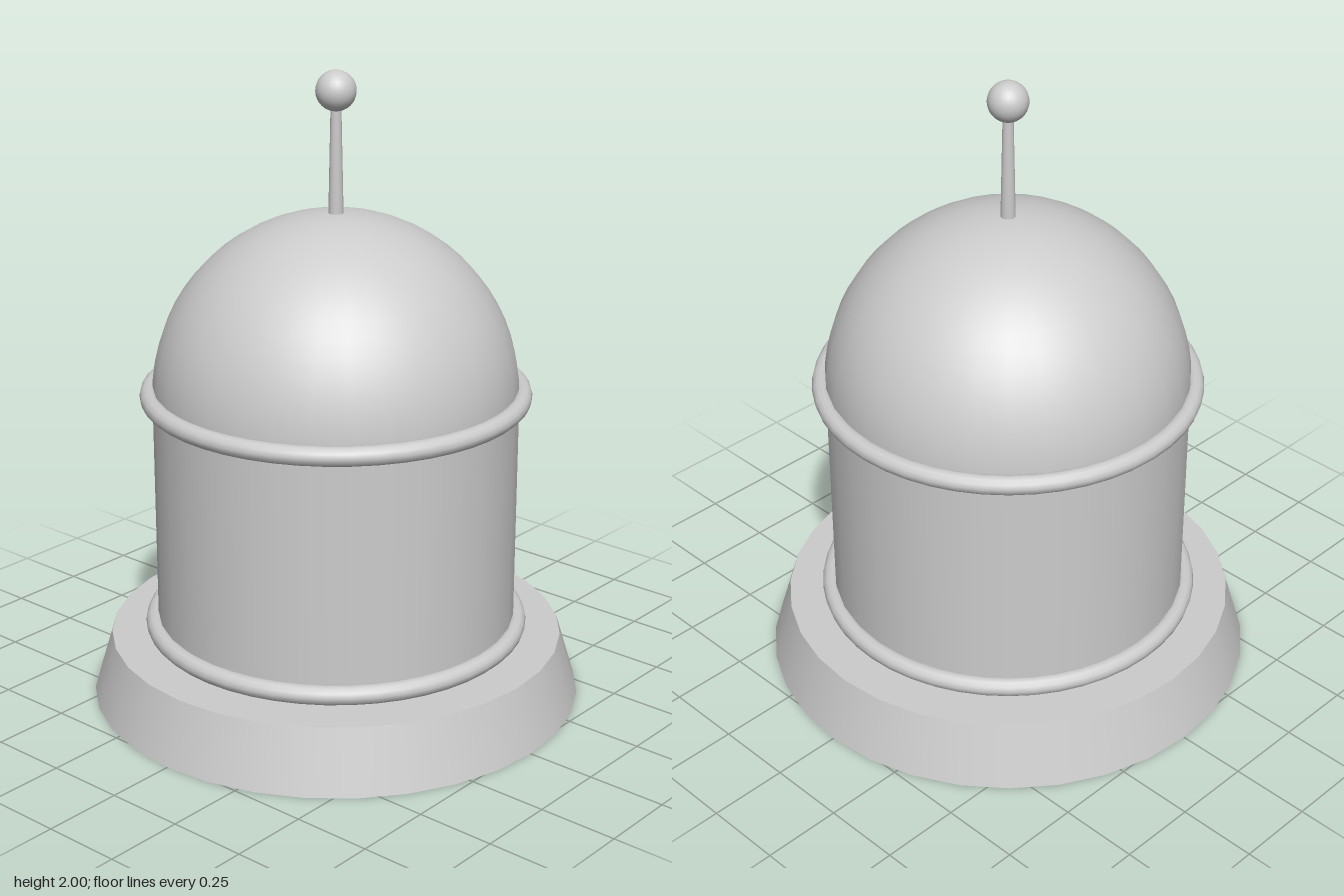
import * as THREE from 'three';

export function createModel() {
  const group = new THREE.Group();
  const stone = new THREE.MeshStandardMaterial({ color: 0xcccccc });
  stone.name = 'lightGrey';

  const add = (name, geometry, y) => {
    const mesh = new THREE.Mesh(geometry, stone);
    mesh.name = name;
    mesh.position.y = y;
    group.add(mesh);
    return mesh;
  };

  // Tapered plinth and drum
  add('base', new THREE.CylinderGeometry(0.72, 0.78, 0.2, 32), 0.1);
  add('drum', new THREE.CylinderGeometry(0.57, 0.57, 0.8, 32), 0.6);

  // Hemispherical roof
  add('dome', new THREE.SphereGeometry(0.57, 32, 16, 0, Math.PI * 2, 0, Math.PI / 2), 0.995);

  // Round mouldings at the foot and top of the drum
  for (const [name, y] of [['lowerRing', 0.235], ['upperRing', 0.995]]) {
    add(name, new THREE.TorusGeometry(0.58, 0.03, 12, 48).rotateX(Math.PI / 2), y);
  }

  // Finial: tapered mast with a ball
  add('mast', new THREE.CylinderGeometry(0.016, 0.024, 0.38, 12), 1.73);
  add('ball', new THREE.SphereGeometry(0.062, 24, 16), 1.938);

  return group;
}
